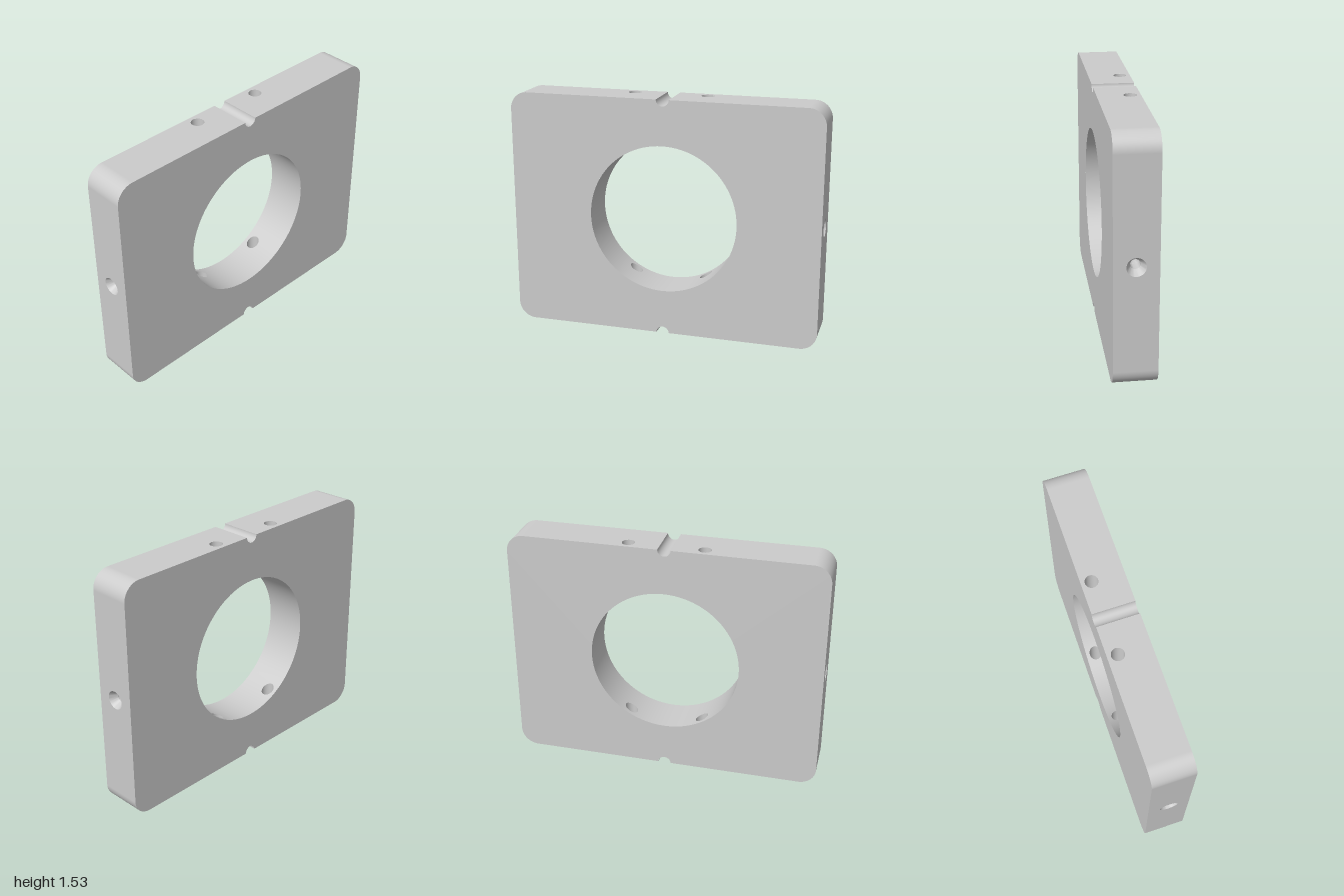
import * as THREE from 'three';
import { ParametricGeometry } from 'three/addons/geometries/ParametricGeometry.js';
import { toCreasedNormals } from 'three/addons/utils/BufferGeometryUtils.js';

const W = 1, H = 0.765, T = 0.132;             // half width, height, thickness
const CORNER = 0.11, NOTCH = 0.041, BORE = 0.476;
const HOLE_X = 0.236, HOLE_Z = -0.068, HOLE_R = 0.04;
const PATCH = [0.3, 0.75];                     // bore angles around a pin hole
const PI = Math.PI;

const material = new THREE.MeshStandardMaterial({ color: 0xcccccc });

function add(parent, name, geometry) {
  const mesh = new THREE.Mesh(geometry, material);
  mesh.name = name;
  parent.add(mesh);
  return mesh;
}

// Cylindrical wall along z; rising angles face outward, falling ones inward
function arcWall(cx, cy, r, a0, a1, n) {
  return new ParametricGeometry((u, v, p) => {
    const a = a0 + (a1 - a0) * u;
    p.set(cx + r * Math.cos(a), cy + r * Math.sin(a), T * (2 * v - 1));
  }, n, 1);
}

// Flat rectangle with a round hole
function holedPanel(x0, x1, y0, y1, hx, hy, r) {
  const shape = new THREE.Shape([
    new THREE.Vector2(x0, y0), new THREE.Vector2(x1, y0),
    new THREE.Vector2(x1, y1), new THREE.Vector2(x0, y1)]);
  shape.holes.push(new THREE.Path().absarc(hx, hy, r, 0, 2 * PI, true));
  return new THREE.ShapeGeometry(shape, 24);
}

// Piece of bore wall between a rectangle in (angle, z) and the pin hole's edge
function borePatch(side) {
  const [a0, a1] = side > 0 ? PATCH : [-PATCH[1], -PATCH[0]];
  const corners = [[a0, -T], [a1, -T], [a1, T], [a0, T]];
  const x0 = side * HOLE_X, mid = Math.asin(x0 / BORE);
  return new ParametricGeometry((u, v, p) => {
    const k = Math.floor(u * 4), f = u * 4 - k;
    const c = corners[k % 4], d = corners[(k + 1) % 4];
    const a = c[0] + (d[0] - c[0]) * f, z = c[1] + (d[1] - c[1]) * f;
    const t = Math.atan2(z - HOLE_Z, (a - mid) * BORE);
    const ha = Math.asin((x0 + HOLE_R * Math.cos(t)) / BORE);
    const hz = HOLE_Z + HOLE_R * Math.sin(t);
    const angle = a + (ha - a) * v;
    p.set(BORE * Math.sin(angle), BORE * Math.cos(angle), z + (hz - z) * v);
  }, 64, 5);
}

// Pin hole wall from the curved bore up to the flat edge
function pinHole(side) {
  return new ParametricGeometry((u, v, p) => {
    const t = u * 2 * PI, x = side * HOLE_X + HOLE_R * Math.cos(t);
    const y = Math.sqrt(BORE * BORE - x * x);
    p.set(x, y + (H - y) * v, HOLE_Z + HOLE_R * Math.sin(t));
  }, 40, 1);
}

// Upper and right-hand walls; a half turn gives the lower and left-hand ones
function createHalf() {
  const half = new THREE.Group();
  const cx = W - CORNER, cy = H - CORNER;

  for (const s of [-1, 1]) {
    const x0 = s > 0 ? NOTCH : -cx, x1 = s > 0 ? cx : -NOTCH;
    const edge = holedPanel(x0, x1, -T, T, s * HOLE_X, -HOLE_Z, HOLE_R);
    add(half, 'longEdge', edge.rotateX(-PI / 2).translate(0, H, 0));
    add(half, 'pinHole', pinHole(s));
    add(half, 'boreAroundPinHole', borePatch(s));
    const start = s > 0 ? 0 : PI / 2;
    add(half, 'roundedCorner', arcWall(s * cx, cy, CORNER, start, start + PI / 2, 16));
  }
  add(half, 'notch', arcWall(0, H, NOTCH, 2 * PI, PI, 24));

  // Plain stretches of bore, as angles from the top
  for (const [a, b] of [[-PI / 2, -PATCH[1]], [-PATCH[0], PATCH[0]], [PATCH[1], PI / 2]])
    add(half, 'bore', arcWall(0, 0, BORE, PI / 2 - a, PI / 2 - b, 20));

  // Short edge with its blind countersunk centre hole
  const side = holedPanel(-T, T, -cy, cy, 0, 0, 0.057);
  add(half, 'shortEdge', side.rotateY(PI / 2).translate(W, 0, 0));
  const profile = [[0.057, 0], [0.03, -0.047], [0.03, -0.11], [0, -0.127]];
  const socket = new THREE.LatheGeometry(profile.map(q => new THREE.Vector2(...q)), 40);
  add(half, 'centreHole', toCreasedNormals(socket.rotateZ(-PI / 2).translate(W, 0, 0), 0.4));
  return half;
}

// Plate outline with rounded corners, two notches and the bore
function faceGeometry() {
  const cx = W - CORNER, cy = H - CORNER;
  const s = new THREE.Shape();
  s.moveTo(NOTCH, H);
  s.absarc(0, H, NOTCH, 0, -PI, true);
  s.absarc(-cx, cy, CORNER, PI / 2, PI, false);
  s.absarc(-cx, -cy, CORNER, PI, PI * 1.5, false);
  s.absarc(0, -H, NOTCH, PI, 0, true);
  s.absarc(cx, -cy, CORNER, -PI / 2, 0, false);
  s.absarc(cx, cy, CORNER, 0, PI / 2, false);
  s.holes.push(new THREE.Path().absarc(0, 0, BORE, 0, 2 * PI, true));
  return new THREE.ShapeGeometry(s, 48);
}

export function createModel() {
  const model = new THREE.Group();
  model.name = 'boredPlate';

  const plate = new THREE.Group();
  plate.name = 'plate';
  plate.position.y = H;
  model.add(plate);

  add(plate, 'frontFace', faceGeometry().translate(0, 0, T));
  add(plate, 'backFace', faceGeometry().rotateY(PI).translate(0, 0, -T));

  ['upperRightWalls', 'lowerLeftWalls'].forEach((name, i) => {
    const half = createHalf();
    half.name = name;
    half.rotation.z = i * PI;
    plate.add(half);
  });
  return model;
}
